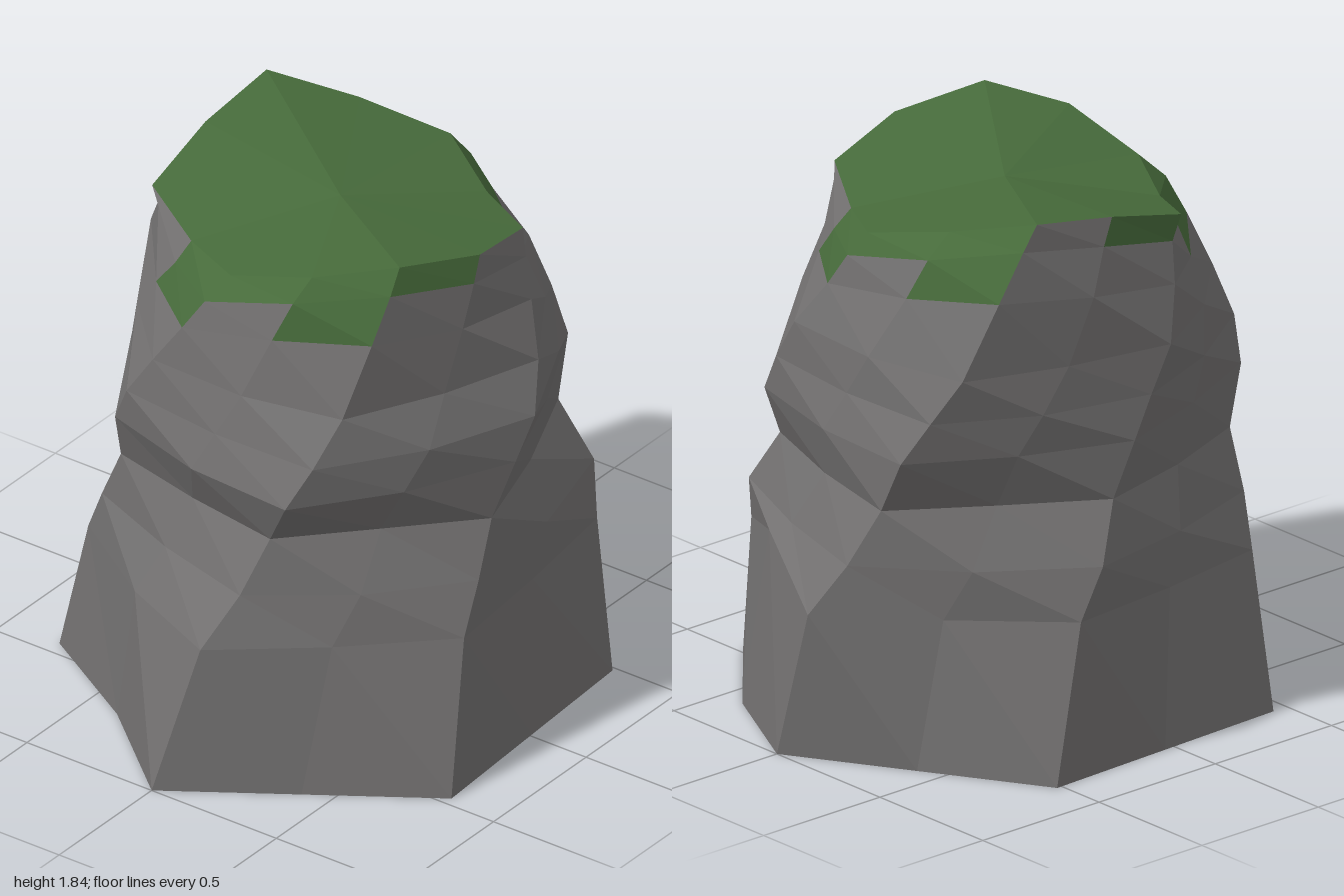
import * as THREE from 'three';

// Each ring: height, twist in degrees, bulge of the side middles, then six corner radii
const RINGS = [
  [0.00, 0, 0.00, 1.00, 0.89, 0.93, 1.00, 0.90, 0.97],
  [0.51, 7, 0.03, 0.98, 0.84, 0.81, 0.89, 0.80, 0.83],
  [0.68, 13, 0.05, 0.90, 0.84, 0.77, 0.78, 0.76, 0.80],
  [0.87, 19, 0.02, 0.84, 0.74, 0.74, 0.71, 0.71, 0.71],
  [1.06, 25, 0.05, 0.88, 0.80, 0.77, 0.83, 0.75, 0.72],
  [1.20, 31, 0.06, 0.85, 0.78, 0.785, 0.80, 0.74, 0.71],
  [1.35, 38, 0.06, 0.83, 0.75, 0.74, 0.73, 0.69, 0.71],
  [1.52, 46, 0.08, 0.78, 0.68, 0.67, 0.69, 0.64, 0.65],
  [1.64, 52, 0.10, 0.72, 0.65, 0.63, 0.65, 0.60, 0.60],
  [1.72, 56, 0.00, 0.68, 0.60, 0.61, 0.61, 0.52, 0.61],
];
const CORNER_ANGLES = [0, 57, 120, 180, 240.6, 302.4];
// Extra bulge of each side at the foot and near the rim
const SIDE_BUMPS = {
  0: [0.07, 0, 0, -0.05, 0, 0],
  8: [0, -0.06, 0.03, 0.02, -0.06, -0.03],
  9: [0.05, 0, 0.15, 0.15, 0, 0.03],
};
// Saddle-shaped rim heights, corner and side middle alternating
const RIM = [1.84, 1.77, 1.70, 1.66, 1.70, 1.77, 1.83, 1.78, 1.69, 1.66, 1.71, 1.79];
// How far each upper ring follows the saddle
const FOLLOW = { 7: 0.7, 8: 1, 9: 1 };
const N = RIM.length;
const TOP = RINGS.length - 1;
// Columns where moss hangs over the rim, and those where it hangs lower
const MOSS_COLUMNS = [0, 1, 2, 5, 6, 7, 8, 10];
const LONG_MOSS = [0, 2, 6, 8];

function ringPoints([y, twist, bulge, ...radii], level) {
  const corners = radii.map((r, k) => {
    const a = THREE.MathUtils.degToRad(CORNER_ANGLES[k] - twist);
    return new THREE.Vector3(r * Math.cos(a), y, r * Math.sin(a));
  });
  const points = [];
  corners.forEach((c, k) => {
    const mid = c.clone().add(corners[(k + 1) % 6]).multiplyScalar(0.5);
    // gentle irregular chipping of the side faces
    const bump = SIDE_BUMPS[level] ? SIDE_BUMPS[level][k] : 0.02 * Math.sin(level * 2.3 + k * 1.9);
    mid.x *= 1 + bulge + bump;
    mid.z *= 1 + bulge + bump;
    // raised ledge on the left flank
    if (level === 1 && k === 0) mid.y += 0.13;
    points.push(c, mid);
  });
  points.forEach((p, j) => { p.y += (FOLLOW[level] ?? 0) * (RIM[j] - 1.72); });
  return points;
}

function facetedMesh(name, triangles, material) {
  const geometry = new THREE.BufferGeometry().setFromPoints(triangles);
  geometry.computeVertexNormals();
  const mesh = new THREE.Mesh(geometry, material);
  mesh.name = name;
  return mesh;
}

export function createModel() {
  const rock = new THREE.MeshStandardMaterial({ color: 0x727070 });
  rock.name = 'grey rock';
  const moss = new THREE.MeshStandardMaterial({ color: 0x476b3b });
  moss.name = 'green moss';

  const rings = RINGS.map(ringPoints);
  const stone = [], hanging = [], cap = [], base = [];

  // twisted sides, band by band
  for (let i = 0; i < TOP; i++) {
    for (let j = 0; j < N; j++) {
      const n = (j + 1) % N;
      const a = rings[i][j], b = rings[i][n], c = rings[i + 1][j], d = rings[i + 1][n];
      const mossy = (i === TOP - 1 && MOSS_COLUMNS.includes(j)) ||
        (i === TOP - 2 && LONG_MOSS.includes(j));
      (mossy ? hanging : stone).push(a, c, d, a, d, b);
    }
  }

  // underside and dished mossy top
  const bottom = new THREE.Vector3(0, 0, 0);
  const dish = new THREE.Vector3(0.02, 1.745, 0);
  for (let j = 0; j < N; j++) {
    const n = (j + 1) % N;
    base.push(bottom, rings[0][j], rings[0][n]);
    cap.push(dish, rings[TOP][n], rings[TOP][j]);
  }

  const group = new THREE.Group();
  group.name = 'mossyRock';
  group.add(
    facetedMesh('rockSides', stone, rock),
    facetedMesh('rockBase', base, rock),
    facetedMesh('mossTop', cap, moss),
    facetedMesh('mossPatches', hanging, moss),
  );
  return group;
}
